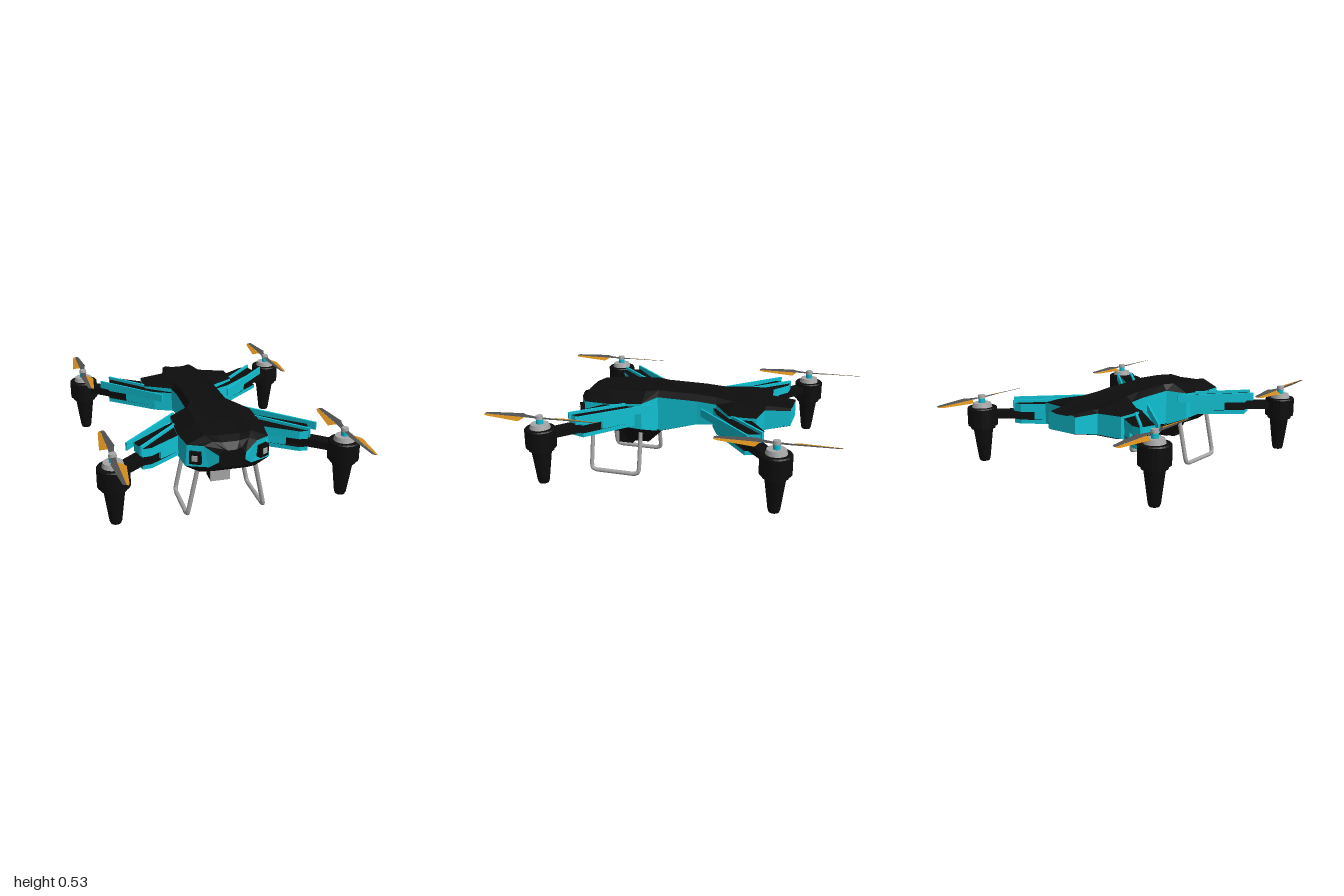
import * as THREE from 'three';

const mat = (name, color, side = THREE.FrontSide) => {
  const m = new THREE.MeshStandardMaterial({ color, side });
  m.name = name;
  return m;
};

export function createModel() {
  const black = mat('black plastic', 0x0d0d0d);
  const cyan = mat('cyan shell', 0x10c0d2);
  const grey = mat('light grey metal', 0xa6a6a6);
  const dark = mat('dark grey blade', 0x505050, THREE.DoubleSide);
  const orange = mat('orange blade', 0xcf8a1c, THREE.DoubleSide);
  const root = new THREE.Group();

  const add = (name, geo, material, x = 0, y = 0, z = 0, parent = root) => {
    const m = new THREE.Mesh(geo, material);
    m.name = name;
    m.position.set(x, y, z);
    parent.add(m);
    return m;
  };

  // Skins rings running front to back (each counterclockwise from the front);
  // isCyan(j) picks the colour of each strip, 'front' and 'back' for the caps
  const loft = (name, rings, isCyan) => {
    const tris = { black: [], cyan: [] };
    const put = (key, ...pts) => tris[isCyan(key) ? 'cyan' : 'black'].push(...pts.flat());
    const n = rings[0].length;
    for (let i = 0; i + 1 < rings.length; i++) {
      for (let j = 0; j < n; j++) {
        const k = (j + 1) % n, f = rings[i], b = rings[i + 1];
        put(j, f[j], b[k], f[k]);
        put(j, f[j], b[j], b[k]);
      }
    }
    const first = rings[0], last = rings[rings.length - 1];
    for (let j = 1; j + 1 < n; j++) {
      put('front', first[0], first[j], first[j + 1]);
      put('back', last[0], last[j + 1], last[j]);
    }
    for (const key of ['black', 'cyan']) {
      if (!tris[key].length) continue;
      const g = new THREE.BufferGeometry();
      g.setAttribute('position', new THREE.Float32BufferAttribute(tris[key], 3));
      g.computeVertexNormals();
      add(`${name} ${key}`, g, key === 'cyan' ? cyan : black);
    }
  };

  // Fuselage: z, then half width and height of crown, shoulder, sill and keel
  const sections = [
    [0.655, 0.05, 0.45, 0.075, 0.415, 0.075, 0.375, 0.06, 0.34],
    [0.62, 0.10, 0.485, 0.15, 0.465, 0.12, 0.335, 0.10, 0.31],
    [0.57, 0.13, 0.505, 0.23, 0.46, 0.24, 0.335, 0.16, 0.29],
    [0.42, 0.14, 0.52, 0.25, 0.465, 0.25, 0.335, 0.19, 0.275],
    [0.21, 0.14, 0.53, 0.24, 0.48, 0.24, 0.32, 0.17, 0.27],
    [0.14, 0.11, 0.532, 0.135, 0.495, 0.135, 0.28, 0.11, 0.27],
    [-0.10, 0.11, 0.528, 0.13, 0.49, 0.13, 0.345, 0.11, 0.34],
    [-0.22, 0.11, 0.52, 0.14, 0.485, 0.14, 0.36, 0.12, 0.355],
    [-0.33, 0.13, 0.51, 0.285, 0.475, 0.285, 0.335, 0.24, 0.33],
    [-0.39, 0.13, 0.505, 0.29, 0.475, 0.29, 0.325, 0.24, 0.32],
    [-0.49, 0.13, 0.495, 0.285, 0.475, 0.285, 0.35, 0.24, 0.345],
    [-0.51, 0.10, 0.493, 0.135, 0.475, 0.135, 0.355, 0.12, 0.35],
    [-0.655, 0.08, 0.485, 0.10, 0.475, 0.10, 0.385, 0.09, 0.38],
  ];
  loft('fuselage', sections.map(([z, wt, yt, ws, ys, wl, yl, wb, yb]) => {
    const half = [[wb, yb, z], [wl, yl, z], [ws, ys, z], [wt, yt, z], [wt * 0.5, yt - 0.01, z]];
    return [...half, ...half.map(([x, y]) => [-x, y, z]).reverse()];
  }), (key) => key === 1 || key === 7 || key === 'back');

  // Belly housing with a coloured front face
  loft('belly', [[0.36, 0.175, 0.28], [0.22, 0.18, 0.29], [0.13, 0.265, 0.29]].map(([z, lo, hi]) =>
    [[-0.08, lo, z], [0.08, lo, z], [0.145, hi, z], [-0.145, hi, z]]), (key) => key === 'front');

  // Gimbal camera
  add('camera body', new THREE.BoxGeometry(0.115, 0.07, 0.09), black, 0, 0.183, 0.38);
  add('camera face', new THREE.BoxGeometry(0.118, 0.075, 0.008), grey, 0, 0.183, 0.428);
  add('camera neck', new THREE.BoxGeometry(0.05, 0.08, 0.06), black, 0, 0.25, 0.37);

  // Front lamps
  for (const s of [1, -1]) {
    const lamp = new THREE.Group();
    lamp.name = 'frontLamp';
    lamp.position.set(s * 0.188, 0.395, 0.598);
    lamp.rotation.y = s * 0.5;
    root.add(lamp);
    add('lamp housing', new THREE.BoxGeometry(0.065, 0.07, 0.04), black, 0, 0, 0, lamp);
    add('lamp lens', new THREE.BoxGeometry(0.032, 0.032, 0.006), grey, 0, 0, 0.022, lamp);
  }

  // Landing skids: splayed rounded loops
  const skidPoints = [[0.31, 0.55], [0.05, 0.55], [0.025, 0.545], [0.015, 0.52],
    [0.015, 0.27], [0.025, 0.245], [0.05, 0.24], [0.30, 0.24]];
  for (const s of [1, -1]) {
    const path = new THREE.CurvePath();
    const pts = skidPoints.map(([y, z]) => new THREE.Vector3(s * (0.228 - 0.21 * y), y, z));
    for (let i = 0; i + 1 < pts.length; i++) path.add(new THREE.LineCurve3(pts[i], pts[i + 1]));
    add('landingSkid', new THREE.TubeGeometry(path, 90, 0.0135, 8, false), grey);
  }

  // Horizontal slab from an (x, z) outline between two heights
  const slab = (name, pts, y0, y1, material) => {
    const g = new THREE.ExtrudeGeometry(new THREE.Shape(pts.map(([x, z]) => new THREE.Vector2(x, z))),
      { depth: y1 - y0, bevelEnabled: false });
    add(name, g.rotateX(Math.PI / 2), material, 0, y1, 0);
  };
  const strip = ([ax, az], [bx, bz], w0, w1 = w0) => {
    const l = Math.hypot(bx - ax, bz - az), nx = -(bz - az) / l / 2, nz = (bx - ax) / l / 2;
    return [[ax + nx * w0, az + nz * w0], [bx + nx * w1, bz + nz * w1],
      [bx - nx * w1, bz - nz * w1], [ax - nx * w0, az - nz * w0]];
  };

  // Propeller blade halves: length runs along z, trailing half sits lower
  const bladeHalf = (rows, turn) => {
    const g = new THREE.BufferGeometry();
    const pos = [];
    for (let i = 0; i + 1 < rows.length; i++) {
      const [za, a, ya, b, yb] = rows[i], [zc, c, yc, d, yd] = rows[i + 1];
      pos.push(a, ya, za, b, yb, za, d, yd, zc, a, ya, za, d, yd, zc, c, yc, zc);
    }
    g.setAttribute('position', new THREE.Float32BufferAttribute(pos, 3));
    g.computeVertexNormals();
    return g.rotateY(turn);
  };
  const greyRows = [[-0.02, -0.014, 0, 0.014, 0], [-0.085, -0.012, 0, 0.02, 0.004],
    [-0.11, -0.012, 0, 0.027, 0.008], [-0.32, -0.018, 0, 0.002, 0.004], [-0.33, -0.018, 0, -0.006, 0.002]];
  const orangeRows = [[-0.085, -0.02, 0, -0.012, 0], [-0.105, -0.055, -0.011, -0.012, 0],
    [-0.31, -0.035, -0.005, -0.018, 0], [-0.33, -0.028, -0.002, -0.018, 0]];

  const podProfile = [[0, 0.1], [0.028, 0.1], [0.034, 0.115], [0.058, 0.3], [0.072, 0.302], [0.072, 0.32],
    [0.088, 0.322], [0.088, 0.425], [0.083, 0.432], [0, 0.432]].map(([r, y]) => new THREE.Vector2(r, y));

  // Four arms with motor pods and propellers
  for (const sx of [1, -1]) for (const sz of [1, -1]) {
    const flip = (pts) => pts.map(([x, z]) => [x * sx, z * sz]);
    const fork = flip([[0.13, 0.2], [0.24, 0.25], [0.5, 0.47], [0.47, 0.565], [0.42, 0.56], [0.25, 0.44], [0.13, 0.42]]);
    const core = flip([[0.13, 0.2], [0.24, 0.25], [0.4, 0.39], [0.36, 0.51], [0.25, 0.44], [0.13, 0.42]]);
    slab('armFork upper', fork, 0.412, 0.46, [black, cyan]);
    slab('armFork lower', fork, 0.34, 0.364, [black, cyan]);
    slab('armFork core', core, 0.364, 0.412, [black, cyan]);
    slab('arm', flip(strip([0.28, 0.36], [0.62, 0.645], 0.09, 0.075)), 0.366, 0.41, black);
    slab('armRail inner', flip(strip([0.21, 0.15], [0.545, 0.495], 0.011)), 0.43, 0.476, cyan);
    slab('armRail outer', flip(strip([0.225, 0.295], [0.48, 0.565], 0.013)), 0.42, 0.476, cyan);

    const pod = new THREE.Group();
    pod.name = 'motorPod';
    pod.position.set(sx * 0.642, 0, sz * 0.665);
    root.add(pod);
    add('pod and foot', new THREE.LatheGeometry(podProfile, 24), black, 0, 0, 0, pod)
      .geometry = new THREE.LatheGeometry(podProfile, 24).toNonIndexed();
    pod.children[0].geometry.computeVertexNormals();
    add('motor cap', new THREE.CylinderGeometry(0.052, 0.06, 0.026, 24), grey, 0, 0.444, 0, pod);
    add('motor shaft', new THREE.CylinderGeometry(0.02, 0.02, 0.034, 16), cyan, 0, 0.47, 0, pod);
    add('propeller hub', new THREE.CylinderGeometry(0.02, 0.023, 0.02, 16), grey, 0, 0.494, 0, pod);
    for (const turn of [0, Math.PI]) {
      add('propeller leading half', bladeHalf(greyRows, turn), dark, 0, 0.489, 0, pod);
      add('propeller trailing half', bladeHalf(orangeRows, turn), orange, 0, 0.489, 0, pod);
    }
  }
  return root;
}
